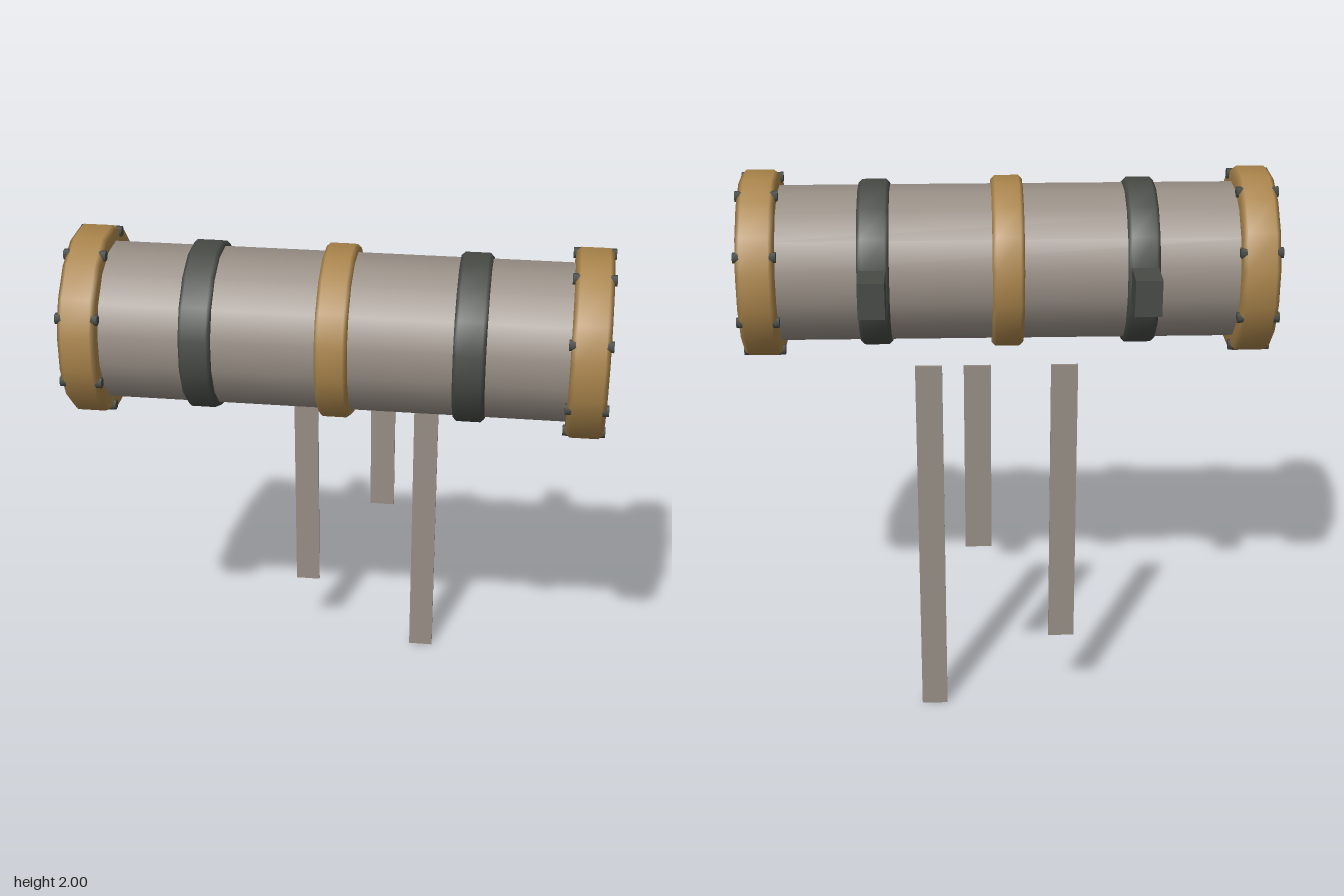
import * as THREE from 'three';

const SIDES = 16;
const AXIS_Y = 1.66, AXIS_Z = 0.046;
const FLAT = 1 / Math.cos(Math.PI / SIDES); // flat radius to corner radius

const mat = (color) => new THREE.MeshStandardMaterial({ color, side: THREE.DoubleSide });
const steel = mat(0x968d84), brass = mat(0xa8834a), iron = mat(0x474a45);

// Turned part lying along x; profile is [radius to the flats, x], x ascending
function turned(name, profile, material) {
  const pts = profile.map(([r, x]) => new THREE.Vector2(r * FLAT, x));
  const geo = new THREE.LatheGeometry(pts, SIDES, Math.PI / SIDES);
  geo.rotateZ(-Math.PI / 2);
  const mesh = new THREE.Mesh(geo, material);
  mesh.name = name;
  return mesh;
}

function box(name, w, h, d, x, y, z, material) {
  const mesh = new THREE.Mesh(new THREE.BoxGeometry(w, h, d), material);
  mesh.name = name;
  mesh.position.set(x, y, z);
  return mesh;
}

// Ring with softened edges around the pipe
function band(name, x, r, material) {
  const h = 0.058, b = 0.014;
  const mesh = turned(name, [[0.27, -h], [r - b, -h], [r, -h + b], [r, h - b], [r - b, h], [0.27, h]], material);
  mesh.position.x = x;
  return mesh;
}

// End cap on the +x side with a circle of through bolts
function endCap(name) {
  const g = new THREE.Group();
  g.name = name;
  g.add(turned('capDisc', [
    [0.27, 0.838], [0.326, 0.838], [0.341, 0.855], [0.341, 0.957], [0.326, 0.974], [0, 0.974],
  ], brass));
  const boltGeo = new THREE.CylinderGeometry(0.02, 0.02, 0.154, 6);
  boltGeo.rotateZ(Math.PI / 2);
  for (let i = 0; i < 8; i++) {
    const a = (i + 0.5) * Math.PI / 4;
    const bolt = new THREE.Mesh(boltGeo, iron);
    bolt.name = 'bolt';
    bolt.position.set(0.906, Math.sin(a) * 0.321, Math.cos(a) * 0.321);
    g.add(bolt);
  }
  return g;
}

export function createModel() {
  const model = new THREE.Group();
  model.name = 'pipeSection';

  // Pipe with its bands and caps
  const pipe = new THREE.Group();
  pipe.name = 'pipe';
  pipe.position.set(0, AXIS_Y, AXIS_Z);
  pipe.add(turned('pipeBody', [[0.285, -0.9], [0.285, 0.9]], steel));
  pipe.add(band('centreBand', 0, 0.315, brass));
  const leftCap = endCap('leftCap');
  const rightCap = endCap('rightCap');
  rightCap.rotation.y = Math.PI;
  pipe.add(leftCap, rightCap);
  model.add(pipe);

  // Clamps and the wall brackets behind them
  for (const s of [-1, 1]) {
    const side = s > 0 ? 'left' : 'right';
    pipe.add(band(side + 'Clamp', s * 0.488, 0.305, iron));
    model.add(box(side + 'Bracket', 0.097, 0.135, 0.16, s * 0.49, AXIS_Y + 0.003, -0.313, iron));
  }

  // Thin streaks hanging behind and below: [x, bottom]
  const top = 1.416;
  for (const [x, bottom] of [[-0.195, 0.297], [0.118, 0.687], [0.292, 0]]) {
    model.add(box('hangingStrip', 0.097, top - bottom, 0.01, x, (top + bottom) / 2, -0.387, steel));
  }
  return model;
}
